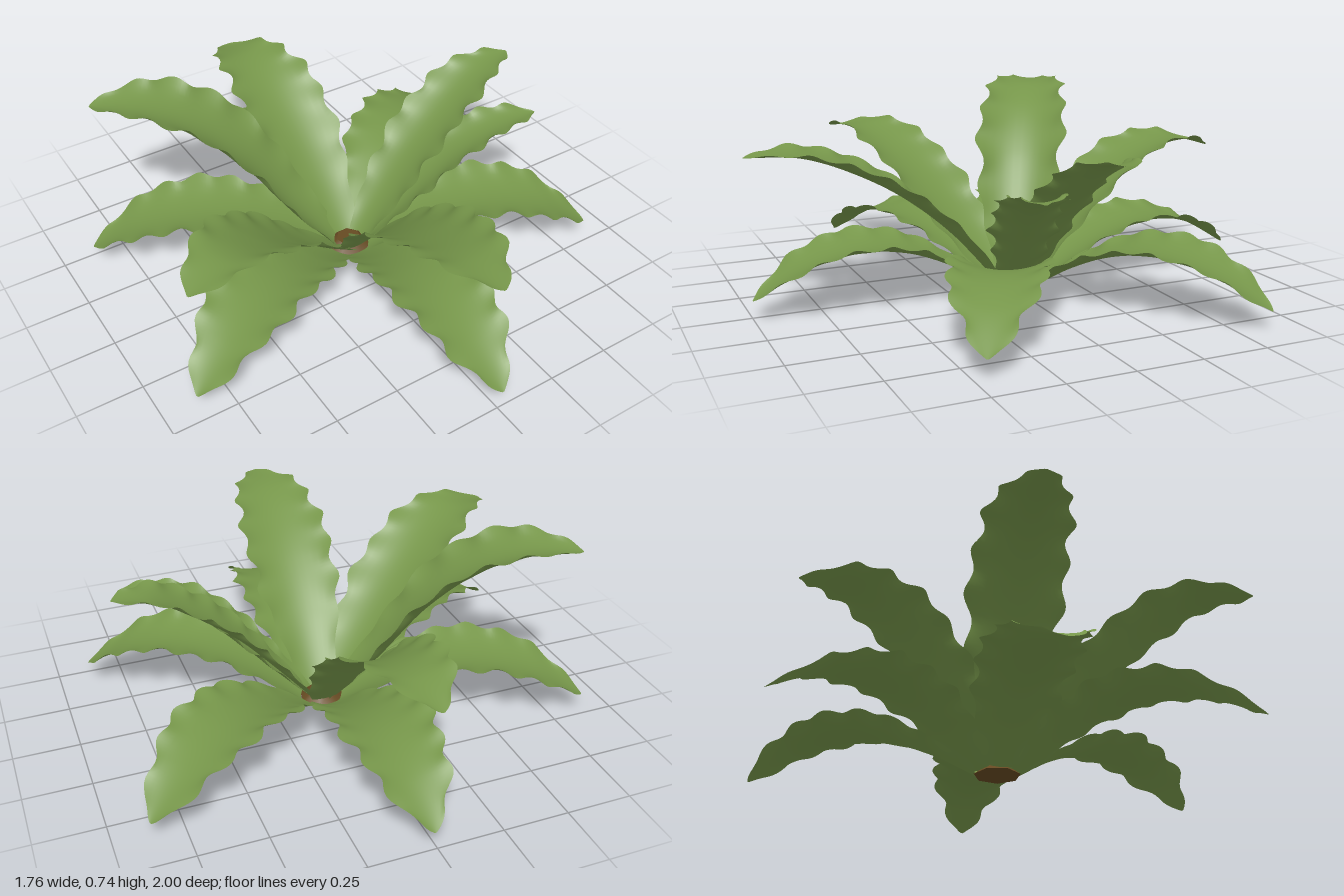
import * as THREE from 'three';

const leafGreen = new THREE.MeshStandardMaterial({ color: 0x76964a, side: THREE.DoubleSide });
leafGreen.name = 'leaf green';
const stemBrown = new THREE.MeshStandardMaterial({ color: 0x664a22 });
stemBrown.name = 'stem brown';

const CENTRE = new THREE.Vector2(0.035, -0.01); // x, z of the crown

// Half width of a leaf from base to pointed tip
const WIDTHS = [
  [0, 0.06], [0.1, 0.1], [0.22, 0.145], [0.4, 0.175], [0.58, 0.172],
  [0.72, 0.152], [0.83, 0.118], [0.92, 0.066], [1, 0.004],
];

function halfWidth(f) {
  let i = 0;
  while (i < WIDTHS.length - 2 && f > WIDTHS[i + 1][0]) i++;
  const [f0, w0] = WIDTHS[i];
  const [f1, w1] = WIDTHS[i + 1];
  return THREE.MathUtils.lerp(w0, w1, (f - f0) / (f1 - f0));
}

// Arching leaf with a cupped section and wavy margins; heights are evenly spaced along it
function makeLeaf(name, { tip: [tipX, tipZ], heights, seed, base, cup = 0.045, width = 1 }) {
  const dir = new THREE.Vector2(tipX, tipZ).sub(CENTRE);
  const reach = dir.length();
  dir.normalize();
  const spine = new THREE.SplineCurve(heights.map((y, i) => new THREE.Vector2(
    THREE.MathUtils.lerp(base, reach, i / (heights.length - 1)), y)));

  const geo = new THREE.PlaneGeometry(1, 1, 12, 80);
  const pos = geo.attributes.position;
  for (let i = 0; i < pos.count; i++) {
    const u = pos.getX(i) * 2;
    const f = pos.getY(i) + 0.5;
    const p = spine.getPoint(f);
    const tan = spine.getTangent(f);
    const fade = Math.min(1, f / 0.3) * Math.min(1, (1 - f) / 0.15);
    const phase = f * Math.PI * 15 + seed * 1.7 + (u > 0 ? 0 : 1.1);
    const wave = fade * (Math.sin(phase) + 0.4 * Math.sin(phase * 0.53 + seed));
    // Scallops are confined to the margins, which also lift along the leaf's normal
    const edge = Math.pow(Math.abs(u), 4);
    const side = u * (halfWidth(f) * width + 0.014 * wave * edge);
    const lift = u * u * cup * Math.sin(Math.PI * (0.08 + f * 0.92))
      + edge * 0.006 * fade * Math.cos(phase);
    const r = p.x - tan.y * lift;
    const y = Math.max(0, p.y + tan.x * lift);
    pos.setXYZ(i,
      CENTRE.x + dir.x * r - dir.y * side, y,
      CENTRE.y + dir.y * r + dir.x * side);
  }
  geo.computeVertexNormals();
  const mesh = new THREE.Mesh(geo, leafGreen);
  mesh.name = name;
  return mesh;
}

export function createModel() {
  const plant = new THREE.Group();
  plant.name = 'rosettePlant';

  // Short woody crown
  const crown = new THREE.Mesh(new THREE.CylinderGeometry(0.05, 0.09, 0.03, 7), stemBrown);
  crown.name = 'crown';
  crown.position.set(CENTRE.x, 0.015, CENTRE.y);
  plant.add(crown);

  // Drooping outer leaves
  const droop = [0.005, 0.12, 0.195, 0.215, 0.175, 0.07];
  const outerTips = [
    [0.02, 1], [0.88, 0.46], [0.87, -0.62],
    [0.01, -1], [-0.88, -0.47], [-0.88, 0.45],
  ];
  outerTips.forEach((tip, i) => plant.add(
    makeLeaf(`outerLeaf${i + 1}`, { tip, heights: droop, seed: i, base: 0.08 })));

  // Raised inner leaves, each with its own arch
  const innerLeaves = [
    { tip: [-0.03, 1], heights: [0.01, 0.23, 0.39, 0.5, 0.57, 0.58] },
    { tip: [0.84, -0.07], heights: [0.01, 0.19, 0.36, 0.49, 0.59, 0.62], width: 0.8 },
    { tip: [0.77, 0.21], heights: [0.01, 0.15, 0.29, 0.41, 0.48, 0.505], width: 0.7 },
    { tip: [-0.03, -0.93], heights: [0.01, 0.21, 0.38, 0.49, 0.53, 0.49] },
    { tip: [-0.8, -0.48], heights: [0.01, 0.22, 0.46, 0.62, 0.7, 0.71], cup: 0.07 },
    { tip: [-0.87, 0.45], heights: [0.01, 0.17, 0.34, 0.48, 0.56, 0.54] },
  ];
  innerLeaves.forEach((leaf, i) => plant.add(
    makeLeaf(`innerLeaf${i + 1}`, { ...leaf, seed: i + 7, base: 0.05 })));

  return plant;
}
